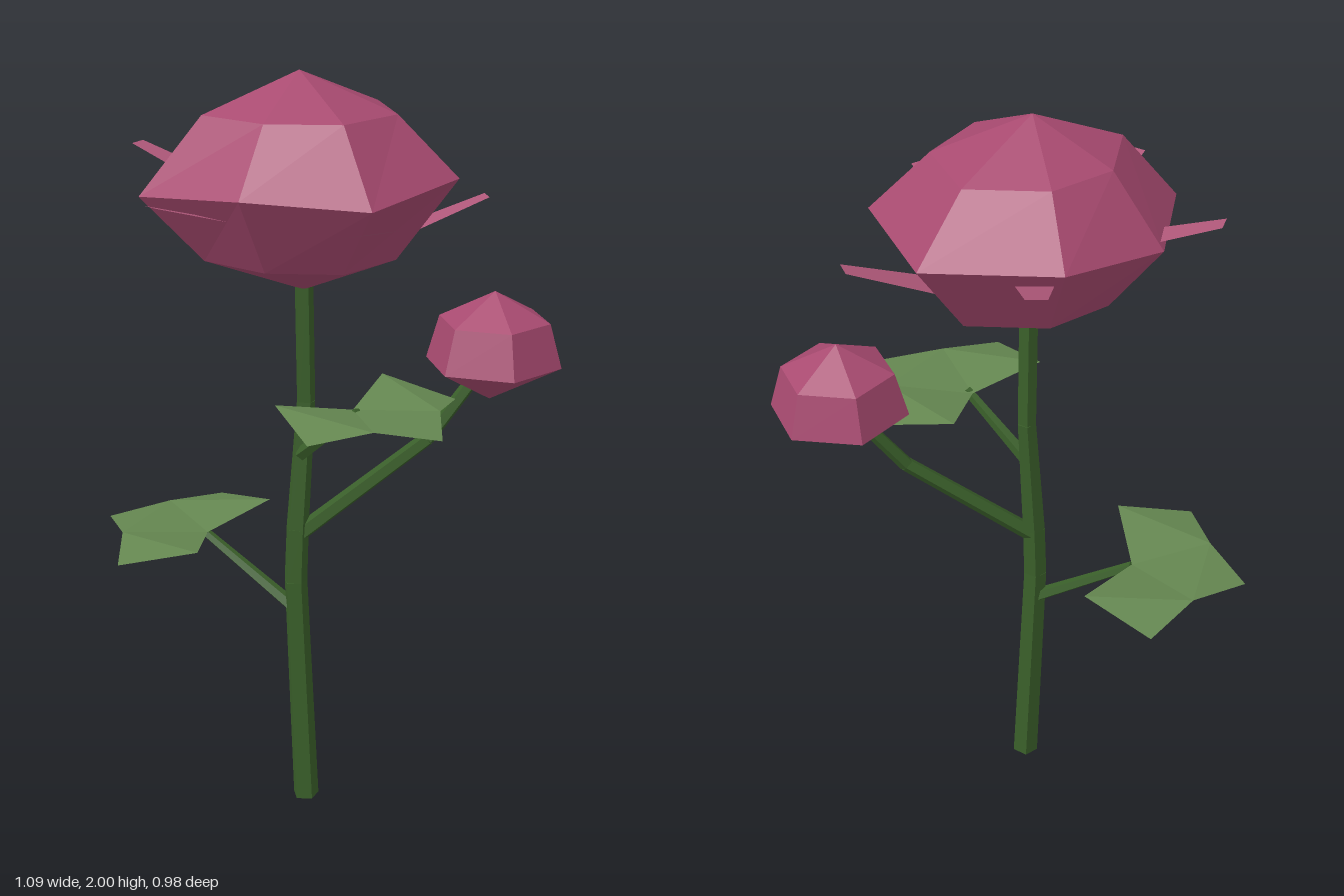
import * as THREE from 'three';

const V = (x, y, z) => new THREE.Vector3(x, y, z);
const mat = (color) => new THREE.MeshStandardMaterial({ color, flatShading: true, side: THREE.DoubleSide });
const stemMat = mat(0x3a5f2a);
const leafMat = mat(0x648650);
const petalMat = mat(0xa84a70);
const bractMat = mat(0xb0587a);

function addMesh(group, name, geometry, material) {
  const mesh = new THREE.Mesh(geometry, material);
  mesh.name = name;
  group.add(mesh);
}

// Geometry from a flat list of points, three per triangle
function fromTriangles(points) {
  const g = new THREE.BufferGeometry().setFromPoints(points);
  g.computeVertexNormals();
  return g;
}

// Faceted closed head: bottom tip, rings from low to high, top tip
function headGeometry(bottom, rings, top) {
  const tris = [];
  const n = rings[0].length;
  for (let i = 0; i < n; i++) {
    const j = (i + 1) % n;
    tris.push(bottom, rings[0][i], rings[0][j]);
    for (let k = 0; k < rings.length - 1; k++) {
      const a = rings[k], b = rings[k + 1];
      tris.push(a[i], b[i], a[j], a[j], b[i], b[j]);
    }
    const last = rings[rings.length - 1];
    tris.push(last[i], top, last[j]);
  }
  return fromTriangles(tris);
}

// Tapered five-sided branch through points [x, y, z, radius]
function addBranch(group, name, path) {
  const branch = new THREE.Group();
  branch.name = name;
  for (let i = 0; i < path.length - 1; i++) {
    const a = V(...path[i].slice(0, 3)), b = V(...path[i + 1].slice(0, 3));
    const dir = b.clone().sub(a);
    const g = new THREE.CylinderGeometry(path[i + 1][3], path[i][3], dir.length(), 5);
    g.applyQuaternion(new THREE.Quaternion().setFromUnitVectors(V(0, 1, 0), dir.normalize()));
    g.translate((a.x + b.x) / 2, (a.y + b.y) / 2, (a.z + b.z) / 2);
    addMesh(branch, name + 'Segment', g, stemMat);
  }
  group.add(branch);
}

// Three-lobed folded leaf: base point, horizontal axis angle and width factor
function leafGeometry(base, ax, az, width) {
  const axis = V(ax, 0, az).normalize();
  const side = V(-axis.z, 0, axis.x);
  const p = (along, across, up) => base.clone()
    .addScaledVector(axis, along).addScaledVector(side, across * width).add(V(0, up, 0));
  const root = p(0, 0, 0), tip = p(0.308, 0, -0.005);
  const tris = [];
  const notches = [-1, 1].map((s) => p(0.19, 0.13 * s, 0.015));
  tris.push(root, notches[1], notches[0], notches[0], notches[1], tip);
  [-1, 1].forEach((s, k) => {
    const inner = p(-0.084, 0.21 * s, 0.035), outer = p(0.11, 0.29 * s, -0.005);
    const [u, v] = s > 0 ? [inner, outer] : [outer, inner];
    tris.push(notches[k], u, v);
    if (s > 0) tris.push(root, inner, notches[k]);
    else tris.push(root, notches[k], inner);
  });
  return fromTriangles(tris);
}

export function createModel() {
  const plant = new THREE.Group();
  plant.name = 'flowerPlant';

  // Main stem and side branches
  addBranch(plant, 'stem', [
    [-0.07, 0, 0.01, 0.036], [-0.093, 0.65, 0, 0.032], [-0.087, 0.8, 0, 0.031],
    [-0.06, 1.15, 0, 0.025], [-0.068, 1.5, 0.005, 0.025],
  ]);
  addBranch(plant, 'budStalk', [
    [-0.085, 0.78, 0, 0.024], [0.21, 1.05, 0.165, 0.02], [0.32, 1.21, 0.21, 0.018]]);
  addBranch(plant, 'lowerLeafStalk', [[-0.095, 0.57, -0.01, 0.019], [-0.24, 0.73, -0.23, 0.013]]);
  addBranch(plant, 'upperLeafStalk', [[-0.08, 1.01, 0.01, 0.019], [-0.02, 1.17, 0.2, 0.013]]);

  // Leaves
  addMesh(plant, 'lowerLeaf', leafGeometry(V(-0.24, 0.735, -0.23), -0.585, -0.81, 1), leafMat);
  addMesh(plant, 'upperLeaf', leafGeometry(V(-0.02, 1.17, 0.175), 0.25, 0.97, 0.9), leafMat);

  // Flower head: irregular seven-sided middle ring, scaled in above and below
  const middle = [
    [0.33, 1.75, -0.07], [0.22, 1.75, 0.27], [-0.09, 1.72, 0.38], [-0.35, 1.74, 0.21],
    [-0.47, 1.71, -0.09], [-0.22, 1.72, -0.31], [0.08, 1.75, -0.3],
  ].map((p) => V(...p));
  const inset = (s, y) => middle.map((p) => V(-0.075 + (p.x + 0.075) * s, y, 0.01 + (p.z - 0.01) * s));
  addMesh(plant, 'flowerHead', headGeometry(
    V(-0.07, 1.45, 0.01), [inset(0.61, 1.54), middle, inset(0.61, 1.9)], V(-0.08, 2, 0.01)), petalMat);

  // Narrow bracts sticking out around the head: tip x, y, z and rise
  const bracts = [
    [0.37, 1.675, 0.17, 0.38], [-0.1, 1.7, 0.49, 0.28], [-0.54, 1.735, 0.135, 0.3],
    [-0.34, 1.785, -0.385, 0.35], [0.22, 1.77, -0.365, 0.35],
  ];
  for (const [x, y, z, rise] of bracts) {
    const tip = V(x, y, z);
    const out = V(x + 0.08, 0, z - 0.01).normalize();
    const side = V(-out.z, 0, out.x);
    const root = tip.clone().addScaledVector(out, -0.25).add(V(0, -0.25 * rise, 0));
    const a = root.clone().addScaledVector(side, -0.055), b = root.clone().addScaledVector(side, 0.055);
    const c = tip.clone().addScaledVector(side, -0.026), d = tip.clone().addScaledVector(side, 0.026);
    addMesh(plant, 'bract', fromTriangles([a, b, c, c, b, d]), bractMat);
  }

  // Six-sided bud
  const budRing = (r, y) => Array.from({ length: 6 }, (_, i) => {
    const t = -0.23 + (i * Math.PI) / 3;
    return V(0.365 + r * Math.cos(t), y, 0.228 + r * Math.sin(t));
  });
  addMesh(plant, 'bud', headGeometry(
    V(0.355, 1.155, 0.23), [budRing(0.178, 1.25), budRing(0.145, 1.365)], V(0.365, 1.44, 0.228)), petalMat);

  return plant;
}
